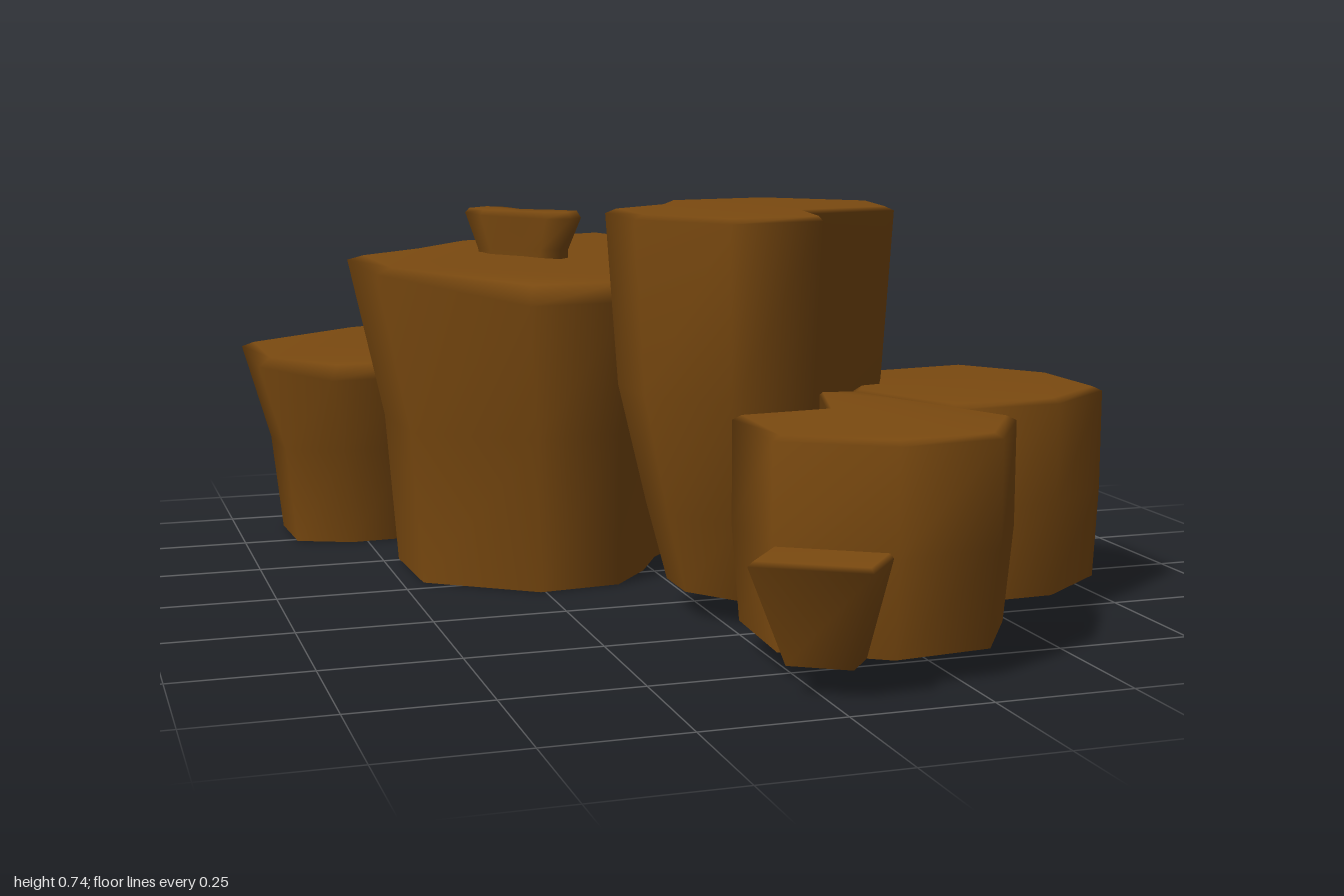
import * as THREE from 'three';

const rockBrown = new THREE.MeshStandardMaterial({ color: 0x7b4a10, side: THREE.DoubleSide });
rockBrown.name = 'rockBrown';

// Open-bottomed rock: scaled copies of one outline lofted upwards, closed by a cap.
// outline: [x, z] pairs; levels: [y, scale] from the ground up to the rim;
// top: cap height, low: how far the front-right rim drops below the cap.
function makeRock(name, outline, levels, top, low = 0) {
  const pts = outline.map(([x, z]) => new THREE.Vector2(x, -z));
  if (THREE.ShapeUtils.isClockWise(pts)) pts.reverse();
  const box = new THREE.Box2().setFromPoints(pts);
  const c = box.getCenter(new THREE.Vector2());
  const n = pts.length;
  const positions = [];
  const index = [];
  const ring = (scale, height) => pts.forEach((p) => {
    const dx = p.x - c.x, dz = c.y - p.y;
    positions.push(c.x + dx * scale, height(dx + dz), -c.y + dz * scale);
  });

  levels.forEach(([y, s]) => ring(s, () => y));
  ring(1, (side) => top - low * THREE.MathUtils.smoothstep(side, -0.25, 0.1) - 0.008);
  ring(0.93, (side) => top - low * 0.5 * THREE.MathUtils.smoothstep(side, -0.25, 0.1));
  const rings = levels.length + 2;

  // walls
  for (let r = 0; r < rings - 1; r++) {
    for (let i = 0; i < n; i++) {
      const a = r * n + i, b = r * n + (i + 1) % n;
      index.push(a, b, b + n, a, b + n, a + n);
    }
  }
  // cap
  const base = (rings - 1) * n;
  THREE.ShapeUtils.triangulateShape(pts, []).forEach((f) => index.push(...f.map((i) => i + base)));

  const geometry = new THREE.BufferGeometry();
  geometry.setAttribute('position', new THREE.Float32BufferAttribute(positions, 3));
  geometry.setIndex(index);
  geometry.computeVertexNormals();
  const mesh = new THREE.Mesh(geometry, rockBrown);
  mesh.name = name;
  return mesh;
}

export function createModel() {
  const group = new THREE.Group();
  group.name = 'rockCluster';

  // large central boulder
  group.add(makeRock('largeBoulder', [
    [-0.27, -0.58], [0.09, -0.72], [0.33, -0.61], [0.37, -0.39], [0.3, -0.27], [0.2, -0.22],
    [0.07, -0.08], [0.0, 0.05], [-0.1, 0.17], [-0.3, 0.19], [-0.55, 0.01], [-0.56, -0.26], [-0.41, -0.4],
  ], [[0, 0.8], [0.3, 0.85]], 0.625, 0.055));

  // small knob on the boulder
  group.add(makeRock('topKnob', [
    [-0.31, -0.3], [-0.26, -0.345], [-0.22, -0.33], [-0.2, -0.28], [-0.12, -0.25],
    [-0.09, -0.21], [-0.12, -0.175], [-0.17, -0.19], [-0.21, -0.22], [-0.29, -0.25],
  ], [[0.57, 0.75], [0.63, 0.78]], 0.714, 0.012));

  // low boulder at the back
  group.add(makeRock('backBoulder', [
    [-0.73, -0.64], [-0.47, -0.85], [-0.21, -1.0], [-0.02, -0.92], [0.0, -0.74], [-0.03, -0.66],
    [-0.14, -0.65], [-0.28, -0.5], [-0.41, -0.38], [-0.58, -0.37], [-0.72, -0.43],
  ], [[0, 0.78], [0.2, 0.84]], 0.41, 0.045));

  // tall notched rock, narrow at its foot
  group.add(makeRock('tallRock', [
    [-0.17, 0.24], [-0.17, 0.42], [-0.05, 0.58], [0.13, 0.55], [0.16, 0.38], [0.36, 0.33],
    [0.395, 0.15], [0.23, -0.015], [0.02, 0.02], [-0.04, 0.14],
  ], [[0.05, 0.6], [0.2, 0.74], [0.42, 0.92]], 0.742));

  // two low rocks at the front
  group.add(makeRock('leftFrontRock', [
    [0.38, 0.15], [0.6, 0.12], [0.72, 0.28], [0.72, 0.48], [0.57, 0.595], [0.36, 0.605], [0.26, 0.38],
  ], [[0.05, 0.97], [0.22, 1.0]], 0.41));
  group.add(makeRock('frontRock', [
    [-0.045, 0.58], [-0.055, 0.8], [0.12, 0.91], [0.31, 0.89], [0.415, 0.73],
    [0.31, 0.5], [0.26, 0.38], [0.2, 0.37], [0.14, 0.56],
  ], [[0.05, 0.94], [0.22, 1.0]], 0.41));

  // little ledge poking out of the front rock
  group.add(makeRock('frontLedge', [
    [-0.13, 0.89], [0.04, 0.995], [0.2, 0.8], [0.03, 0.69],
  ], [[0.05, 0.55]], 0.23));

  return group;
}
